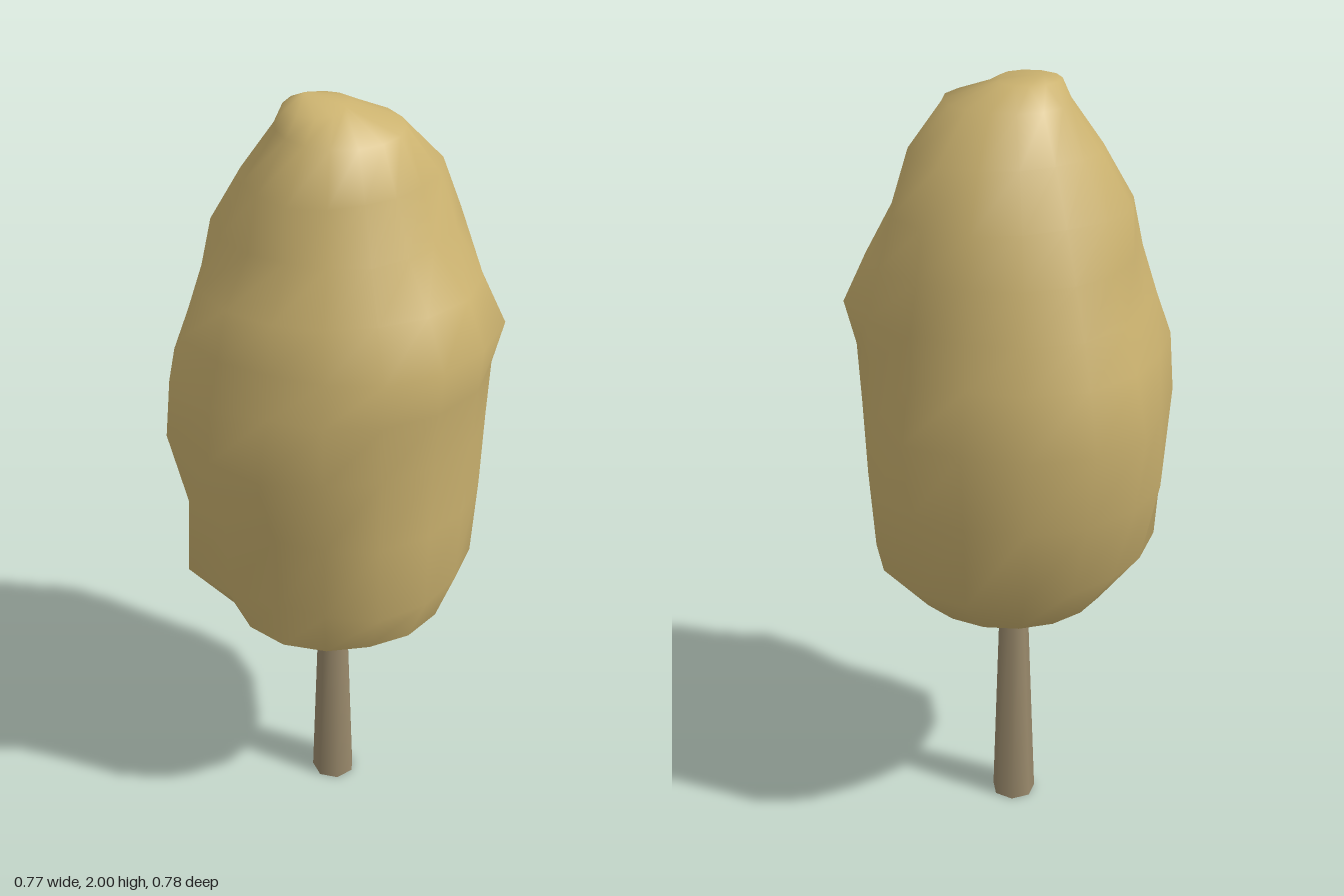
import * as THREE from 'three';

// Crown cross-sections: height, then radius every 45 degrees from +x towards +z
const RINGS = [
  [0.655, [0.29, 0.28, 0.29, 0.28, 0.24, 0.23, 0.23, 0.24]],
  [0.79, [0.34, 0.35, 0.3, 0.395, 0.345, 0.325, 0.365, 0.36]],
  [1.0, [0.35, 0.35, 0.325, 0.385, 0.39, 0.39, 0.375, 0.375]],
  [1.2, [0.365, 0.355, 0.395, 0.43, 0.385, 0.425, 0.39, 0.375]],
  [1.35, [0.375, 0.36, 0.345, 0.415, 0.375, 0.39, 0.36, 0.375]],
  [1.46, [0.385, 0.36, 0.33, 0.38, 0.335, 0.36, 0.34, 0.38]],
  [1.58, [0.34, 0.305, 0.315, 0.335, 0.305, 0.315, 0.32, 0.345]],
  [1.7, [0.25, 0.255, 0.24, 0.28, 0.3, 0.27, 0.3, 0.31]],
  [1.83, [0.215, 0.205, 0.24, 0.22, 0.22, 0.215, 0.24, 0.26]],
  [1.94, [0.16, 0.16, 0.15, 0.14, 0.145, 0.16, 0.155, 0.155]],
  [1.985, [0.02, 0.05, 0.1, 0.12, 0.115, 0.09, 0.06, 0.03]],
];
// Single knobs and flats: ring, side, radius
const KNOBS = [
  [3, 3, 0.355], [3, 5, 0.395], [3, 7, 0.41], [3, 9, 0.415], [3, 11, 0.415], [3, 13, 0.4],
  [5, 1, 0.378], [5, 15, 0.404],
];
const SIDES = 16;

// Doubles eight radii to sixteen with a smooth closed curve, unless a knob is set
function radiusAt(i, j) {
  const knob = KNOBS.find(([ring, side]) => ring === i && side === j);
  if (knob) return knob[2];
  const r = RINGS[i][1];
  const k = j >> 1;
  if (j % 2 === 0) return r[k];
  return (9 * (r[k] + r[(k + 1) % 8]) - r[(k + 7) % 8] - r[(k + 2) % 8]) / 16;
}

// Lofted, smooth crown, open below and closed by a point at the top
function crownGeometry() {
  const positions = [];
  const index = [];
  const top = RINGS.length * SIDES;
  for (let i = 0; i < RINGS.length; i++) {
    for (let j = 0; j < SIDES; j++) {
      const angle = (j / SIDES) * Math.PI * 2;
      const r = radiusAt(i, j);
      positions.push(Math.cos(angle) * r, RINGS[i][0], Math.sin(angle) * r);
      const a = i * SIDES + j;
      const b = i * SIDES + ((j + 1) % SIDES);
      if (i === RINGS.length - 1) index.push(a, top, b);
      else index.push(a, a + SIDES, b, b, a + SIDES, b + SIDES);
    }
  }
  positions.push(-0.08, 2.0, 0);
  const g = new THREE.BufferGeometry();
  g.setAttribute('position', new THREE.Float32BufferAttribute(positions, 3));
  g.setIndex(index);
  g.computeVertexNormals();
  return g;
}

export function createModel() {
  // Crown and trunk are open shells, so both sides show
  const foliage = new THREE.MeshStandardMaterial({ color: 0xcbb26f, side: THREE.DoubleSide });
  foliage.name = 'dry foliage';
  const bark = new THREE.MeshStandardMaterial({ color: 0x9a8a6c, side: THREE.DoubleSide });
  bark.name = 'bark';

  const model = new THREE.Group();
  model.name = 'tree';
  const add = (name, geometry, material) => {
    const mesh = new THREE.Mesh(geometry, material);
    mesh.name = name;
    model.add(mesh);
    return mesh;
  };

  add('crown', crownGeometry(), foliage);

  // Tapered open trunk ending at the rim of the crown
  const trunk = add('trunk', new THREE.CylinderGeometry(0.036, 0.059, 0.66, 7, 1, true), bark);
  trunk.position.set(-0.008, 0.33, 0);
  trunk.rotation.y = Math.PI / 2;
  return model;
}
